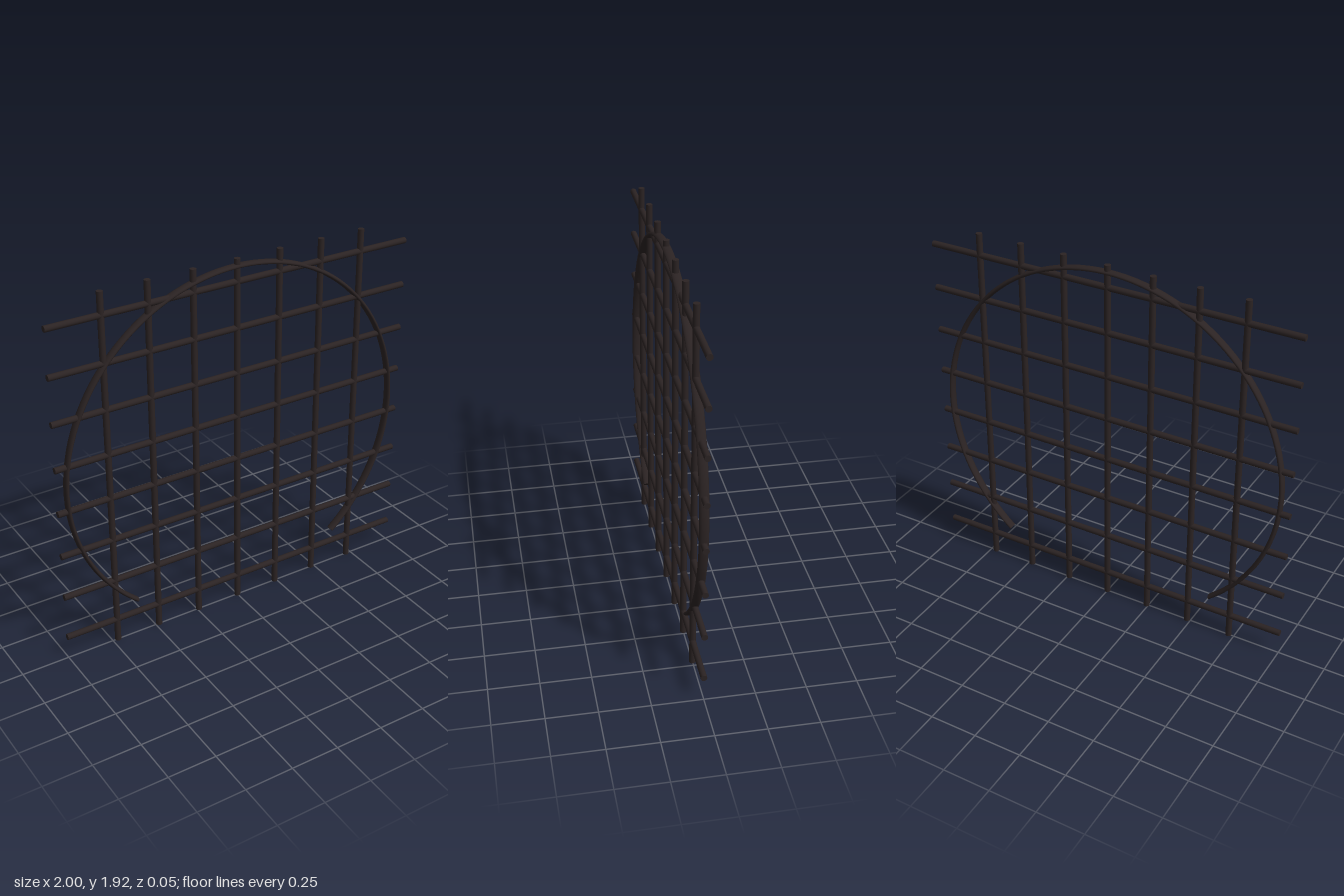
import * as THREE from 'three';

export function createModel() {
  const model = new THREE.Group();
  model.name = 'barredGrille';
  const iron = new THREE.MeshStandardMaterial({ color: 0x2b2323 });
  iron.name = 'darkIron';

  const add = (name, geometry, x, y) => {
    const mesh = new THREE.Mesh(geometry, iron);
    mesh.name = name;
    mesh.position.set(x, y, 0);
    model.add(mesh);
  };

  const radius = 0.016, height = 1.92, spacing = 0.24;

  // Upright bars
  const upright = new THREE.CylinderGeometry(radius, radius, height, 12);
  for (let i = -3; i <= 3; i++) add('uprightBar', upright, i * spacing, height / 2);

  // Cross bars
  const cross = new THREE.CylinderGeometry(radius, radius, 2, 12).rotateZ(Math.PI / 2);
  for (let i = 0; i < 8; i++) add('crossBar', cross, 0, 0.127 + i * 0.2395);

  // Open hoop: an oval rod, deeper than it is thick, with a gap at the bottom
  const hoopRadius = 0.947, thick = 0.0115, stretch = 2;
  const arc = THREE.MathUtils.degToRad(281);
  const start = Math.PI / 2 - arc / 2;
  const hoop = new THREE.TorusGeometry(hoopRadius, thick, 12, 96, arc)
    .rotateZ(start)
    .scale(1, 1, stretch);
  const hoopY = 0.935;
  add('hoop', hoop, 0, hoopY);

  // Caps closing both hoop ends
  for (const side of [-1, 1]) {
    const angle = Math.PI / 2 + side * arc / 2;
    const cap = new THREE.CircleGeometry(thick, 12)
      .rotateX(-side * Math.PI / 2)
      .scale(1, 1, stretch)
      .translate(hoopRadius, 0, 0)
      .rotateZ(angle);
    add('hoopEndCap', cap, 0, hoopY);
  }
  return model;
}
